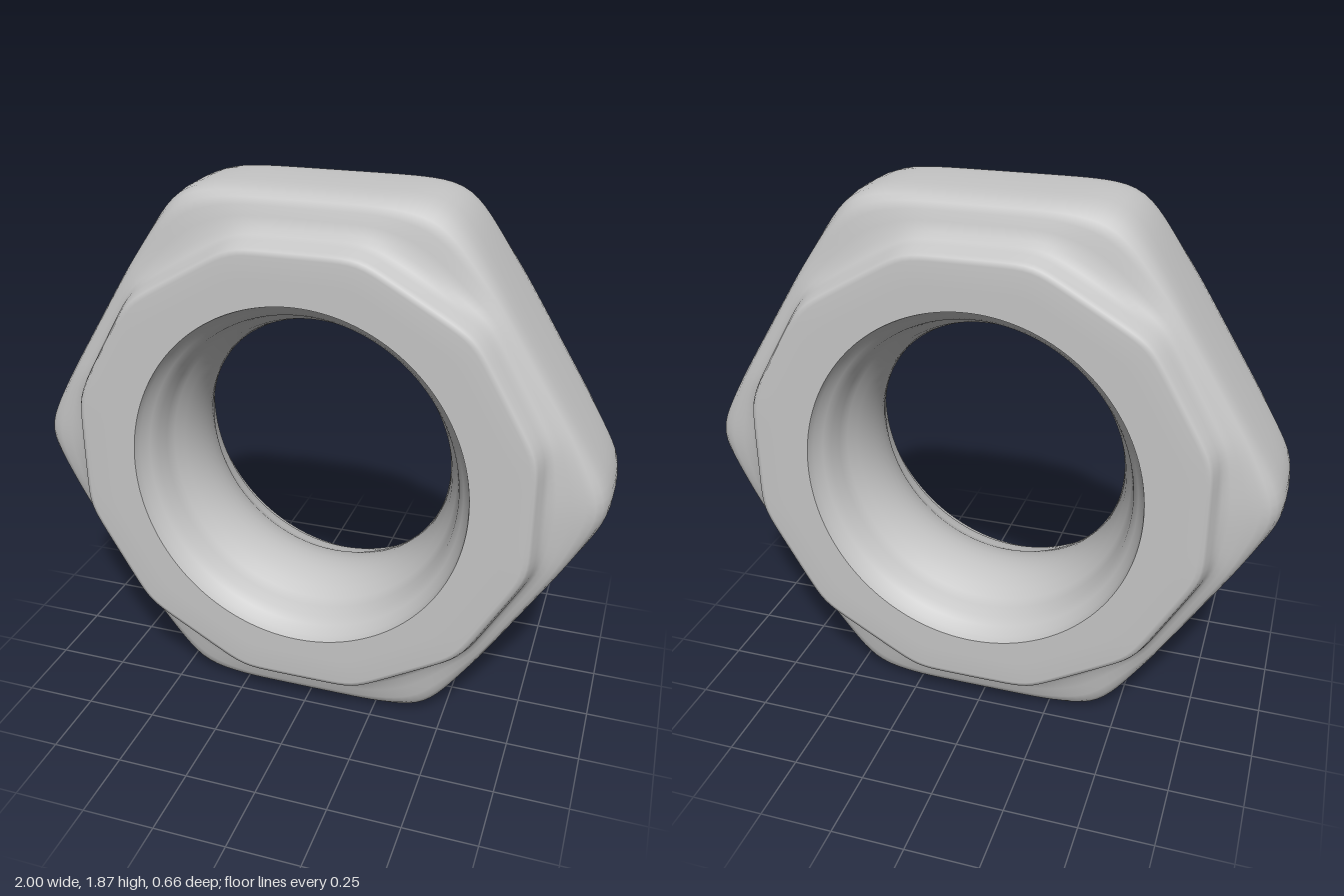
import * as THREE from 'three';

const SEGMENTS = 192;
const CENTRE_Y = 0.9375;

// Radius at an angle of a softly rounded polygon given as [normal angle, apothem] sides
function polygonRadius(angle, sides, sharpness) {
  let sum = 0;
  for (const [normal, apothem] of sides) {
    sum += Math.pow(Math.max(0, Math.cos(angle - normal)) / apothem, sharpness);
  }
  return Math.pow(sum, -1 / sharpness);
}

const deg = Math.PI / 180;
const hexSides = [32.1, 90, 147.9, 212.1, 270, 327.9].map((a) => [a * deg, a % 90 === 0 ? 0.9375 : 0.877]);
const collarSides = Array.from({ length: 12 }, (_, i) => [i * 30 * deg, 0.795]);

// Skin of rings around the z axis; radius(row, angle) gives each ring's outline
function sweep(rows, radius) {
  const positions = [];
  const indices = [];
  rows.forEach((row, r) => {
    for (let i = 0; i < SEGMENTS; i++) {
      const angle = (i / SEGMENTS) * Math.PI * 2;
      const [x, y] = radius(row, angle);
      positions.push(x, y, row.z);
      if (r === 0) continue;
      const next = (i + 1) % SEGMENTS;
      const a = (r - 1) * SEGMENTS + i;
      const b = (r - 1) * SEGMENTS + next;
      const c = r * SEGMENTS + i;
      const d = r * SEGMENTS + next;
      indices.push(a, c, b, b, c, d);
    }
  });
  const geometry = new THREE.BufferGeometry();
  geometry.setAttribute('position', new THREE.Float32BufferAttribute(positions, 3));
  geometry.setIndex(indices);
  geometry.computeVertexNormals();
  return geometry;
}

// Mirror a front half profile (front to middle) to the back
function mirrorRows(rows) {
  const back = rows.filter((row) => row.z > 0).reverse().map((row) => ({ ...row, z: -row.z }));
  return [...rows, ...back];
}

const ellipse = (r, angle) => [r * Math.cos(angle), r * 1.05 * Math.sin(angle)];

export function createModel() {
  const group = new THREE.Group();
  group.name = 'hexNut';
  const steel = new THREE.MeshStandardMaterial({ color: 0xc6c6c6 });
  steel.name = 'steel grey';

  // Outer body: flat collar face, collar wall, fillet and rounded hexagon rim.
  // bore = fixed ellipse, collar = scale of collar outline, t = blend from collar to hexagon
  const bodyRows = mirrorRows([
    { z: 0.328, bore: 0.58 },
    { z: 0.328, collar: 0.85 },
    { z: 0.328, collar: 0.955 },
    { z: 0.322, collar: 0.975 },
    { z: 0.308, collar: 0.985 },
    { z: 0.275, t: 0 },
    { z: 0.252, t: 0.07 },
    { z: 0.236, t: 0.2 },
    { z: 0.224, t: 0.42 },
    { z: 0.216, t: 0.64 },
    { z: 0.205, t: 0.79 },
    { z: 0.185, t: 0.89 },
    { z: 0.15, t: 0.96 },
    { z: 0.09, t: 0.99 },
    { z: 0, t: 1 },
  ]);
  const bodyOutline = (row, angle) => {
    if (row.bore) return ellipse(row.bore, angle);
    const collar = polygonRadius(angle, collarSides, 60);
    const hex = polygonRadius(angle, hexSides, 20);
    const r = row.collar ? collar * row.collar : THREE.MathUtils.lerp(collar, hex, row.t);
    return [r * Math.cos(angle), r * Math.sin(angle)];
  };
  const body = new THREE.Mesh(sweep(bodyRows, bodyOutline), steel);
  body.name = 'hexBody';
  group.add(body);

  // Bore: stepped countersinks narrowing to a rounded throat, run back to front to face inwards
  const boreRows = mirrorRows([
    { z: 0.328, r: 0.58 },
    { z: 0.3, r: 0.572 },
    { z: 0.27, r: 0.55 },
    { z: 0.245, r: 0.53 },
    { z: 0.2, r: 0.52 },
    { z: 0.165, r: 0.505 },
    { z: 0.13, r: 0.483 },
    { z: 0.08, r: 0.468 },
    { z: 0.04, r: 0.46 },
    { z: 0, r: 0.458 },
  ]).reverse();
  const bore = new THREE.Mesh(sweep(boreRows, (row, angle) => ellipse(row.r, angle)), steel);
  bore.name = 'bore';
  group.add(bore);

  group.children.forEach((mesh) => { mesh.position.y = CENTRE_Y; });
  return group;
}
